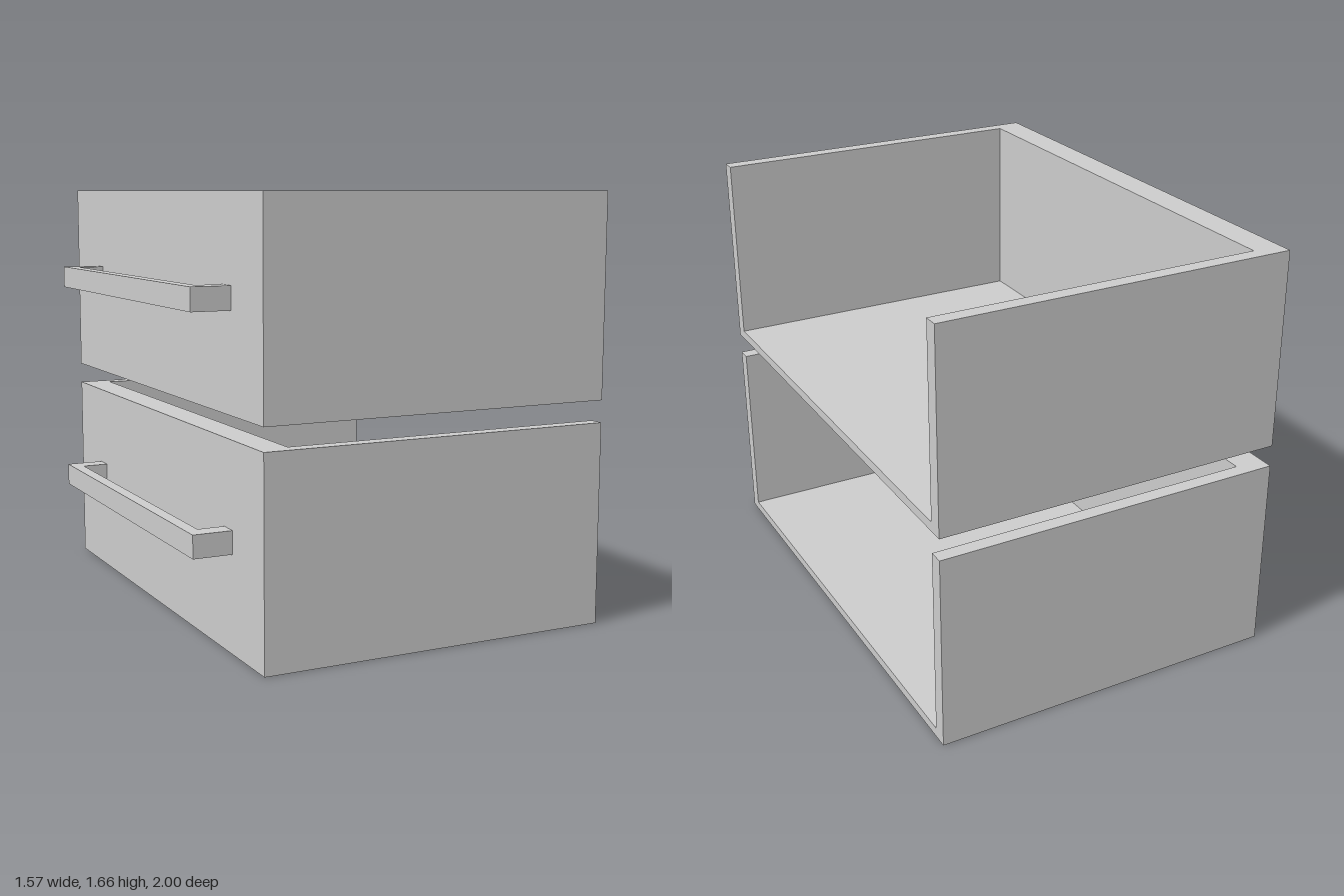
import * as THREE from 'three';

const material = new THREE.MeshStandardMaterial({ color: 0xcccccc, flatShading: true });

// Extrudes a plan outline of [x, z] points upward from y to y + height
function extrudePlan(name, points, y, height) {
  const shape = new THREE.Shape(points.map(([x, z]) => new THREE.Vector2(x, -z)));
  const geometry = new THREE.ExtrudeGeometry(shape, { depth: height, bevelEnabled: false });
  geometry.rotateX(-Math.PI / 2);
  const mesh = new THREE.Mesh(geometry, material);
  mesh.name = name;
  mesh.position.y = y;
  return mesh;
}

// U-shaped plan, closed at xOuter and open towards +x
function uPlan(xOuter, xInner, xOpen, zOuter, zInner) {
  return [
    [xOuter, zOuter], [xOpen, zOuter], [xOpen, zInner], [xInner, zInner],
    [xInner, -zInner], [xOpen, -zInner], [xOpen, -zOuter], [xOuter, -zOuter],
  ];
}

function createDrawer(name) {
  const drawer = new THREE.Group();
  drawer.name = name;

  // Thick face panel with two thin side walls, open at the far end
  drawer.add(extrudePlan('drawerWalls', uPlan(-0.63, -0.513, 0.783, 1, 0.942), 0, 0.787));

  // Floor panel between the walls
  const floor = [[-0.513, 0.942], [0.783, 0.942], [0.783, -0.942], [-0.513, -0.942]];
  drawer.add(extrudePlan('drawerFloor', floor, 0, 0.037));

  // Square bar handle with two legs meeting the face panel
  drawer.add(extrudePlan('handle', uPlan(-0.783, -0.735, -0.63, 0.733, 0.658), 0.372, 0.088));
  return drawer;
}

export function createModel() {
  const model = new THREE.Group();
  model.name = 'drawerPair';
  ['lowerDrawer', 'upperDrawer'].forEach((name, i) => {
    const drawer = createDrawer(name);
    drawer.position.y = i * 0.873;
    model.add(drawer);
  });
  return model;
}
